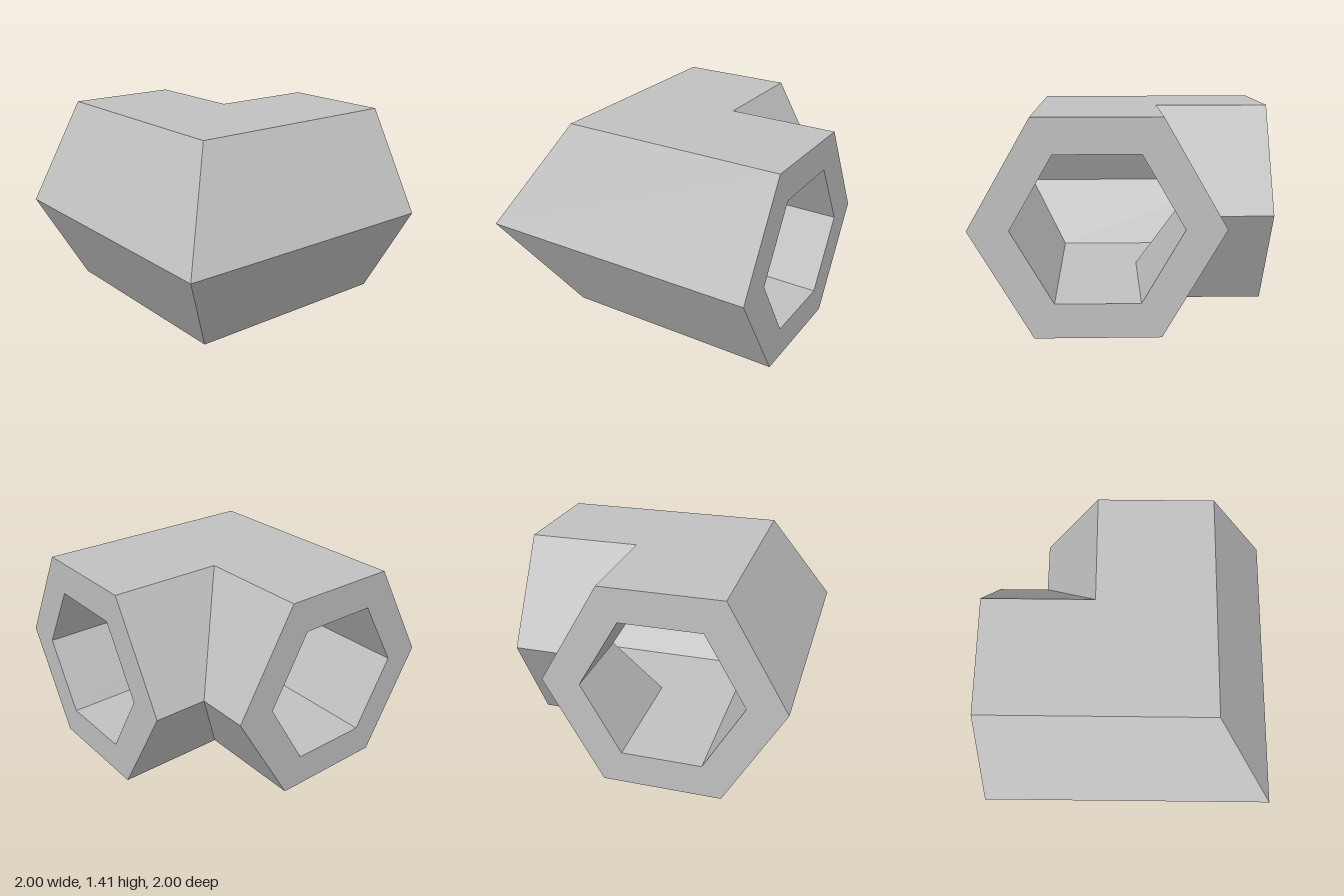
import * as THREE from 'three';

const SIDES = 6;
const OUTER = 0.8168;                      // hexagon radius of the outside
const INNER = 0.552;                       // hexagon radius of the bore
const CENTRE = 1 - OUTER;                  // axis of both arms in x and z
const AXIS_Y = OUTER * Math.sqrt(3) / 2;   // rests on a flat side

// Hexagonal ring placed by a rule that maps the sideways position to x and z
function ring(radius, place) {
  return Array.from({ length: SIDES }, (_, i) => {
    const a = (i / SIDES) * Math.PI * 2;
    const [x, z] = place(CENTRE + radius * Math.cos(a));
    return [x, AXIS_Y + radius * Math.sin(a), z];
  });
}

// The three stations along the elbow: side opening, mitre, back opening
const sideEnd = (s) => [-1, s];
const mitre = (s) => [s, s];
const backEnd = (s) => [s, -1];

// Flat-faced skin joining a run of rings
function skin(name, rings, material) {
  const pos = [];
  for (let r = 0; r < rings.length - 1; r++) {
    const a = rings[r], b = rings[r + 1];
    for (let i = 0; i < SIDES; i++) {
      const j = (i + 1) % SIDES;
      pos.push(...a[i], ...b[i], ...b[j], ...a[i], ...b[j], ...a[j]);
    }
  }
  const geometry = new THREE.BufferGeometry();
  geometry.setAttribute('position', new THREE.Float32BufferAttribute(pos, 3));
  geometry.computeVertexNormals();
  const mesh = new THREE.Mesh(geometry, material);
  mesh.name = name;
  return mesh;
}

export function createModel() {
  const grey = new THREE.MeshStandardMaterial({ color: 0xc0c0c0 });
  grey.name = 'light grey';

  const [outSide, outMitre, outBack] = [sideEnd, mitre, backEnd].map((p) => ring(OUTER, p));
  const [inSide, inMitre, inBack] = [sideEnd, mitre, backEnd].map((p) => ring(INNER, p));

  const group = new THREE.Group();
  group.name = 'hexagonalPipeElbow';
  group.add(
    skin('outerShell', [outSide, outMitre, outBack], grey),
    skin('bore', [inBack, inMitre, inSide], grey),
    skin('backRim', [outBack, inBack], grey),
    skin('sideRim', [inSide, outSide], grey),
  );
  return group;
}
